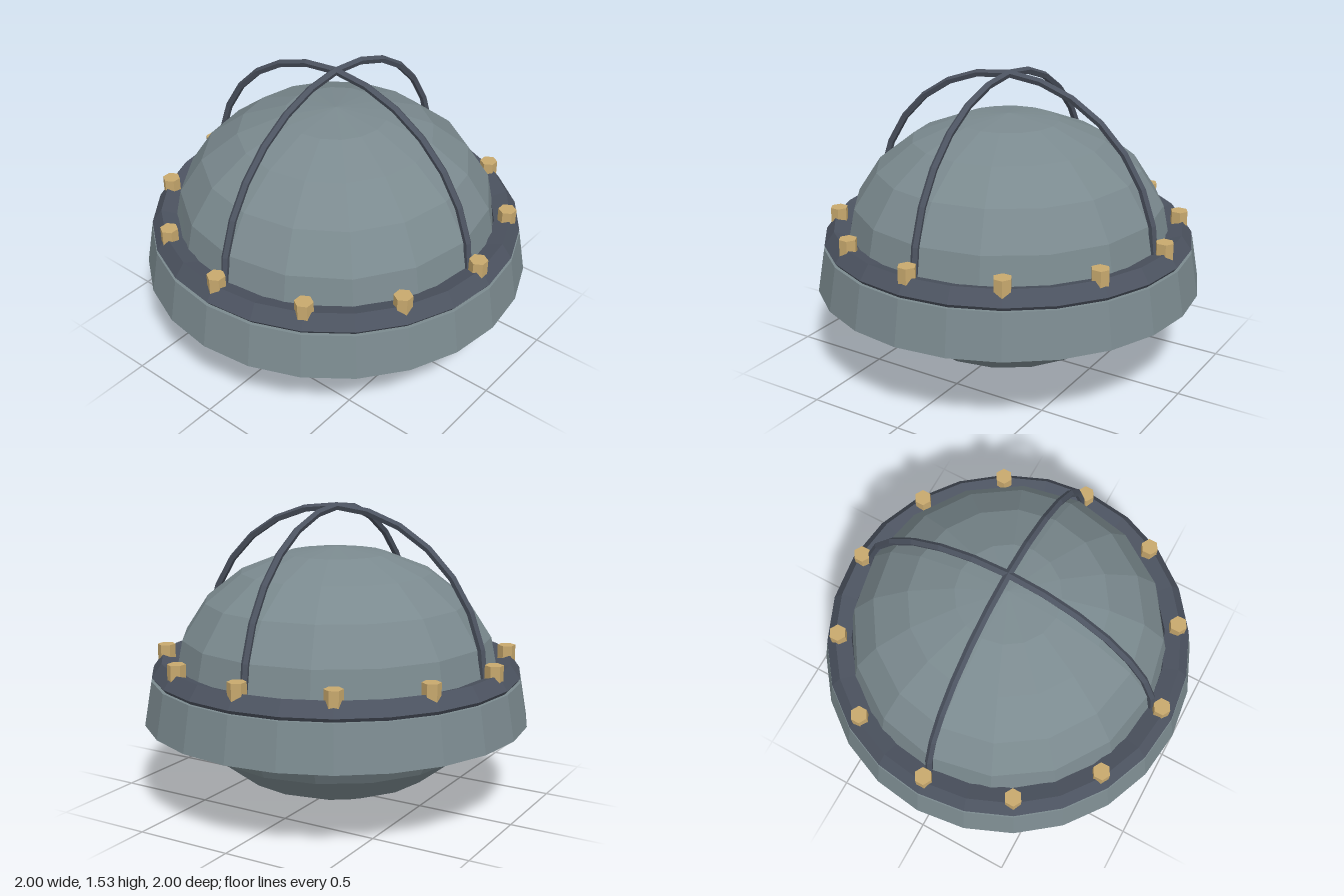
import * as THREE from 'three';

function material(name, color) {
  const m = new THREE.MeshStandardMaterial({ color, flatShading: true });
  m.name = name;
  return m;
}

export function createModel() {
  const model = new THREE.Group();
  model.name = 'domedPod';

  const hull = material('grey green hull', 0x7b8a8f);
  const frame = material('dark slate frame', 0x4c5360);
  const brass = material('brass', 0xc8a96e);

  const add = (name, geometry, mat, y) => {
    const mesh = new THREE.Mesh(geometry, mat);
    mesh.name = name;
    mesh.position.y = y;
    model.add(mesh);
    return mesh;
  };

  // Slightly flattened faceted body
  add('body', new THREE.SphereGeometry(0.84, 16, 10).scale(1, 0.78, 1), hull, 0.655);

  // Flared skirt around the waist
  add('skirt', new THREE.CylinderGeometry(0.96, 1, 0.228, 24), hull, 0.542);

  // Five-sided clamp ring on top of the skirt
  const ringY = 0.675;
  add('clampRing', new THREE.TorusGeometry(0.883, 0.074, 5, 24).rotateX(-Math.PI / 2), frame, ringY);

  // Two crossing half hoops over the dome
  const hoop = new THREE.TorusGeometry(0.837, 0.02, 5, 14, Math.PI);
  for (let i = 0; i < 2; i++) {
    add('hoop' + (i + 1), hoop, frame, ringY).rotation.y = i * Math.PI / 2;
  }

  // Hexagonal bolts, all facing the same way
  const bolt = new THREE.CylinderGeometry(0.046, 0.046, 0.1, 6);
  for (let i = 0; i < 12; i++) {
    const a = i * Math.PI / 6;
    const mesh = add('bolt' + (i + 1), bolt, brass, 0.745);
    mesh.position.x = Math.cos(a) * 0.886;
    mesh.position.z = Math.sin(a) * 0.886;
  }

  return model;
}
